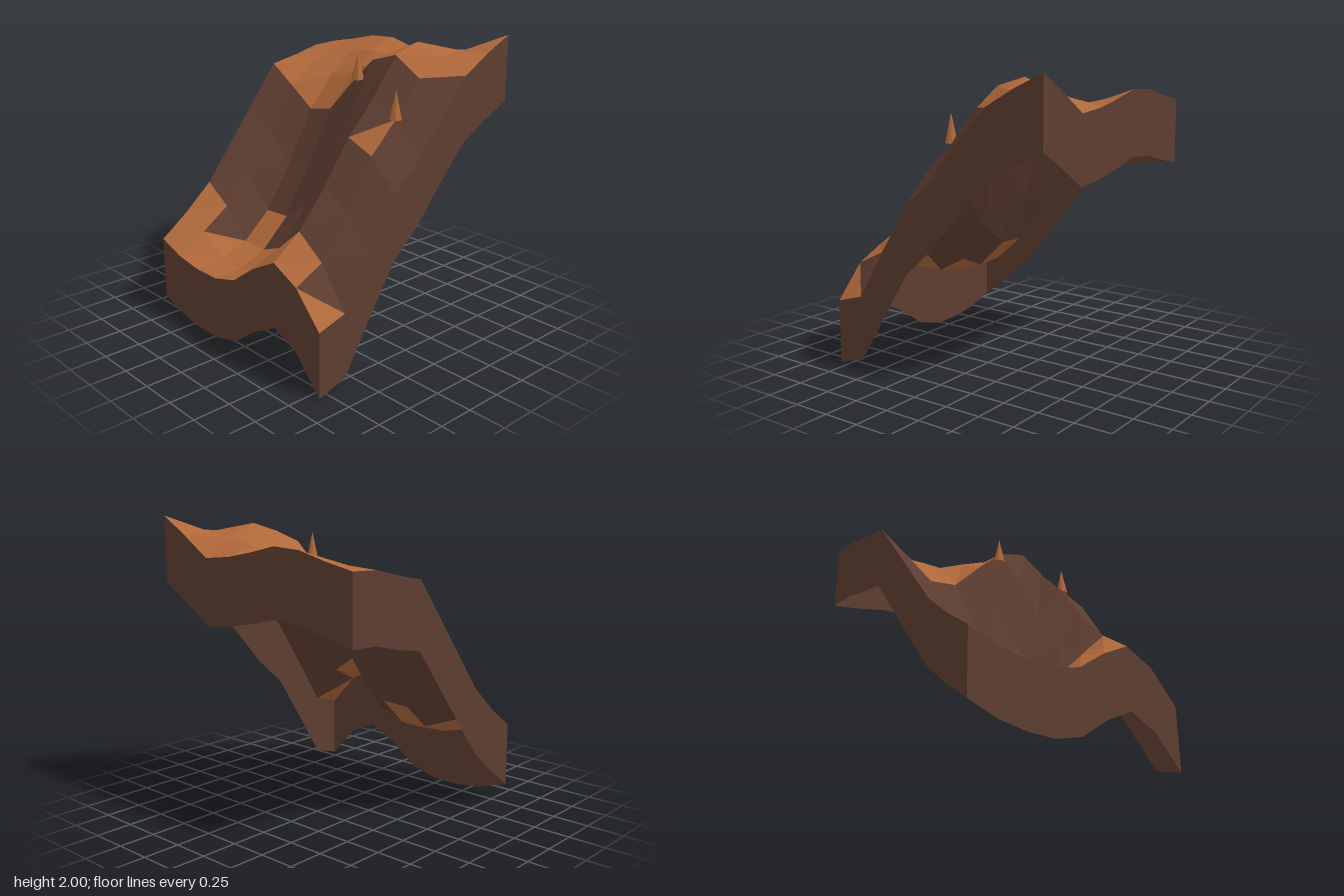
import * as THREE from 'three';

const N = 8, HALF = 0.82, STEP = (2 * HALF) / N, DEPTH = 0.435;

// Ground heights, one row per z from back to front, each from -x to +x
const HEIGHTS = [
  [1.76, 1.80, 1.85, 1.86, 1.81, 1.77, 1.75, 1.88, 2.00],
  [1.75, 1.76, 1.77, 1.79, 1.78, 1.82, 1.87, 1.895, 1.905],
  [1.70, 1.67, 1.62, 1.66, 1.76, 1.85, 1.95, 1.885, 1.79],
  [1.66, 1.53, 1.395, 1.43, 1.64, 1.83, 1.89, 1.77, 1.57],
  [1.40, 1.22, 1.03, 1.07, 1.25, 1.48, 1.63, 1.54, 1.33],
  [1.14, 0.95, 0.725, 0.735, 0.88, 1.15, 1.425, 1.345, 1.15],
  [0.88, 0.75, 0.545, 0.54, 0.62, 0.88, 1.14, 1.03, 0.83],
  [0.70, 0.61, 0.47, 0.46, 0.51, 0.71, 0.905, 0.76, 0.50],
  [0.55, 0.48, 0.45, 0.45, 0.505, 0.65, 0.755, 0.66, 0.44],
];

// Cover per cell: S sand, r rock, / rock at the back-left and sand at the front-right, \ the reverse
const COVER = [
  'SSSSSSSS',
  'SSSSSSSS',
  'SSSSSSS\\',
  'rrrrrrrr',
  'rrrrrr/r',
  'rrSrrrrr',
  'S/SSrrrr',
  'SSSSSSS/',
];

const point = (i, j, drop = 0) => [-HALF + i * STEP, HEIGHTS[j][i] - drop, -HALF + j * STEP];

function meshFrom(points, material, name) {
  const geometry = new THREE.BufferGeometry();
  geometry.setAttribute('position', new THREE.Float32BufferAttribute(points.flat(), 3));
  geometry.computeVertexNormals();
  const mesh = new THREE.Mesh(geometry, material);
  mesh.name = name;
  return mesh;
}

export function createModel() {
  const sand = new THREE.MeshStandardMaterial({ color: 0xb0683a, side: THREE.DoubleSide, flatShading: true });
  sand.name = 'orange sand';
  const rock = new THREE.MeshStandardMaterial({ color: 0x5d3d31, side: THREE.DoubleSide, flatShading: true });
  rock.name = 'brown rock';

  const group = new THREE.Group();
  group.name = 'terrainTile';

  // Ground: two triangles per cell, sorted by cover
  const sandy = [], rocky = [];
  for (let j = 0; j < N; j++) {
    for (let i = 0; i < N; i++) {
      const a = point(i, j), b = point(i, j + 1), c = point(i + 1, j + 1), d = point(i + 1, j);
      const cover = COVER[j][i];
      (cover === 'S' || cover === '\\' ? sandy : rocky).push(a, b, d);
      (cover === 'S' || cover === '/' ? sandy : rocky).push(b, c, d);
    }
  }
  group.add(meshFrom(sandy, sand, 'sandGround'), meshFrom(rocky, rock, 'rockSlope'));

  // Skirt: a wall hanging from each border, open underneath
  const borders = {
    frontSkirt: (k) => [k, N],
    rightSkirt: (k) => [N, N - k],
    backSkirt: (k) => [N - k, 0],
    leftSkirt: (k) => [0, k],
  };
  for (const [name, at] of Object.entries(borders)) {
    const wall = [];
    for (let k = 0; k < N; k++) {
      const p = at(k), q = at(k + 1);
      const a = point(...p), b = point(...p, DEPTH), c = point(...q, DEPTH), d = point(...q);
      wall.push(a, b, d, b, c, d);
    }
    group.add(meshFrom(wall, rock, name));
  }

  // Small pointed stones
  for (const [x, y, z] of [[0.135, 1.70, -0.14], [0.613, 1.54, 0]]) {
    const spike = new THREE.Mesh(new THREE.ConeGeometry(0.04, 0.19, 8), sand);
    spike.position.set(x, y + 0.095, z);
    spike.name = 'spike';
    group.add(spike);
  }
  return group;
}
